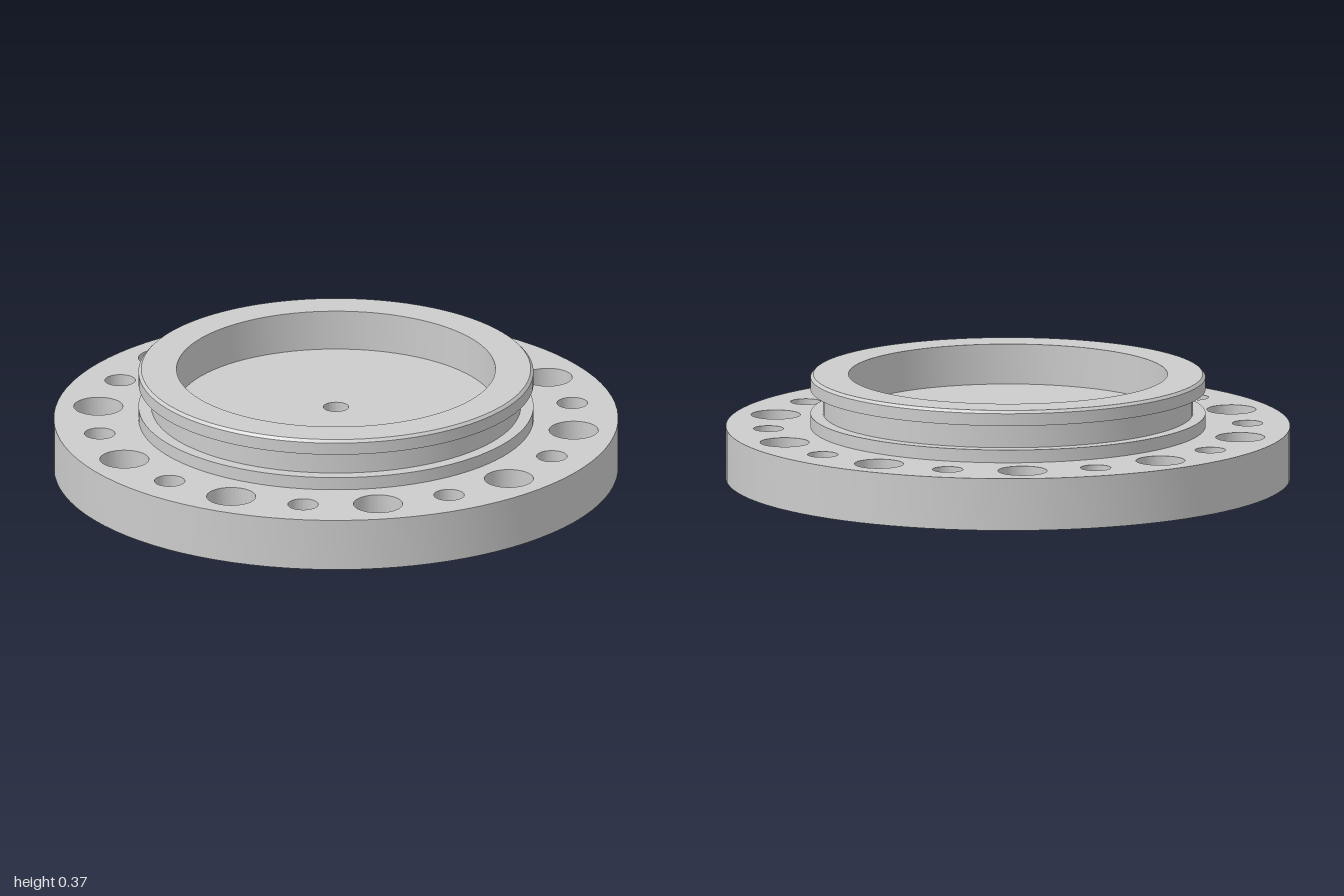
import * as THREE from 'three';
import { toCreasedNormals } from 'three/addons/utils/BufferGeometryUtils.js';

const SEG = 96;
const PLATE_TOP = 0.187, HUB_R = 0.7, BORE_R = 0.087, BOLT_R = 0.054;
const CENTRE_BORE_R = 0.095, CIRCLE_R = 0.85, BORE_DEPTH = 0.115;

export function createModel() {
  const group = new THREE.Group();
  const material = new THREE.MeshStandardMaterial({ color: 0xcccccc });

  const add = (name, geometry, x = 0, y = 0, z = 0) => {
    const mesh = new THREE.Mesh(geometry, material);
    mesh.name = name;
    mesh.position.set(x, y, z);
    group.add(mesh);
  };

  // Turned surface with sharp edges from [radius, height] pairs
  const turned = (points) => toCreasedNormals(
    new THREE.LatheGeometry(points.map(([r, y]) => new THREE.Vector2(r, y)), SEG), 0.5);

  // Flat disc of radius 1 with round holes given as [x, y, radius]
  const disc = (holes) => {
    const shape = new THREE.Shape().absarc(0, 0, 1, 0, Math.PI * 2);
    for (const [x, y, r] of holes) {
      shape.holes.push(new THREE.Path().absarc(x, y, r, 0, Math.PI * 2, true));
    }
    return new THREE.ShapeGeometry(shape, SEG / 2);
  };

  // Twenty holes on one circle, alternately wide and narrow at the top
  const holes = Array.from({ length: 20 }, (_, i) => {
    const a = (i * Math.PI) / 10;
    return { x: CIRCLE_R * Math.cos(a), z: CIRCLE_R * Math.sin(a), wide: i % 2 === 0 };
  });

  // Flange plate
  add('flangeTop', disc([
    [0, 0, HUB_R],
    ...holes.map((h) => [h.x, -h.z, h.wide ? BORE_R : BOLT_R]),
  ]).rotateX(-Math.PI / 2), 0, PLATE_TOP, 0);
  add('flangeBottom', disc([
    [0, 0, CENTRE_BORE_R],
    ...holes.map((h) => [h.x, h.z, BORE_R]),
  ]).rotateX(Math.PI / 2));
  add('flangeRim', turned([[1, 0], [1, PLATE_TOP]]));

  // Hole walls: straight, or stepped with a counterbore from below
  const wideWall = turned([[BORE_R, PLATE_TOP], [BORE_R, 0]]);
  const steppedWall = turned([
    [BOLT_R, PLATE_TOP], [BOLT_R, BORE_DEPTH], [BORE_R, BORE_DEPTH], [BORE_R, 0],
  ]);
  for (const h of holes) {
    add(h.wide ? 'wideHole' : 'counterboredHole', h.wide ? wideWall : steppedWall, h.x, 0, h.z);
  }

  // Hub: grooved outside, chamfered lip, recess and stepped centre hole
  add('hub', turned([
    [HUB_R, PLATE_TOP], [HUB_R, 0.233],
    [0.655, 0.233], [0.655, 0.32],
    [HUB_R, 0.32], [HUB_R, 0.364], [0.69, 0.374],
    [0.565, 0.374], [0.565, 0.23],
    [0.045, 0.23], [0.045, 0.14],
    [CENTRE_BORE_R, 0.14], [CENTRE_BORE_R, 0],
  ]));

  return group;
}
